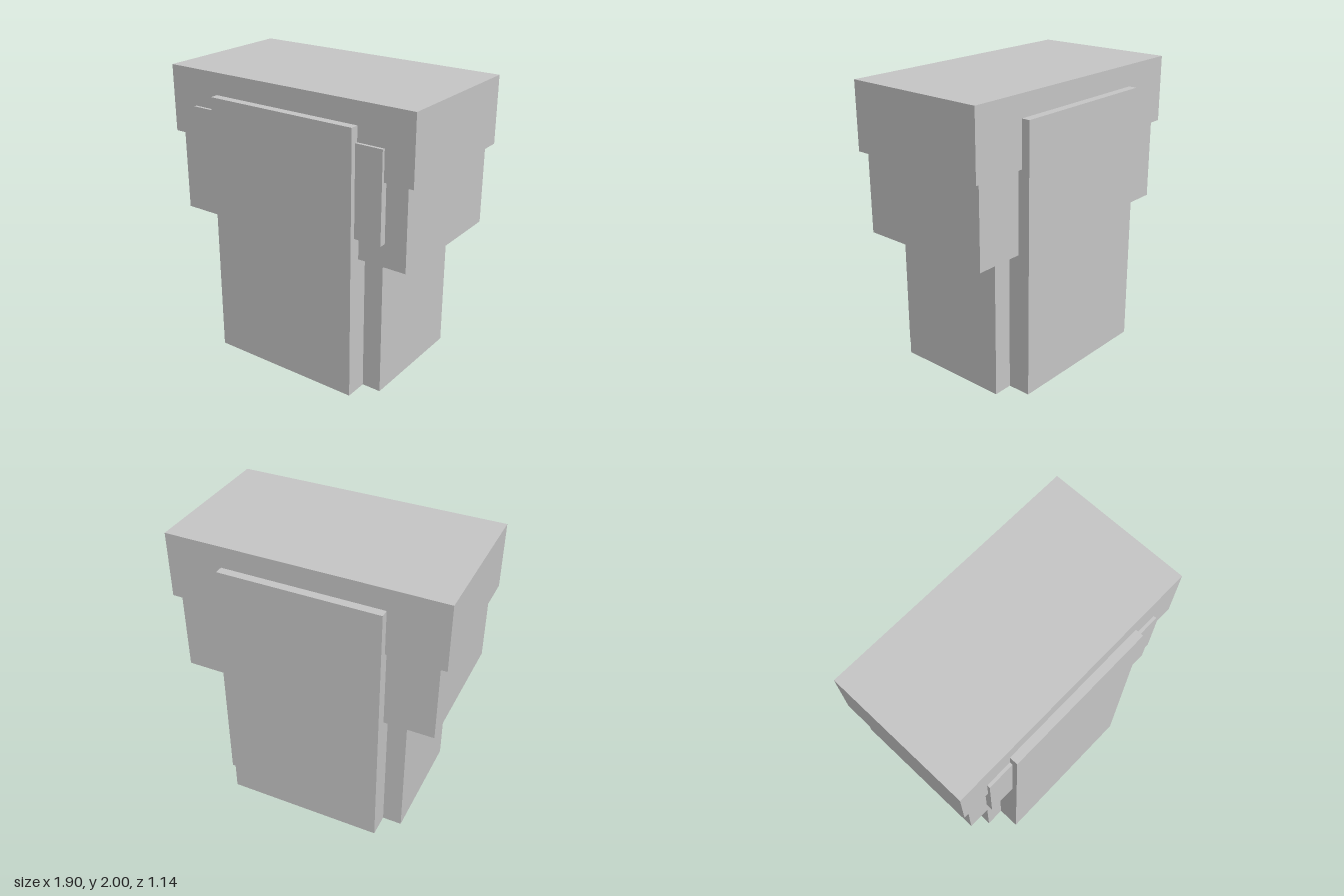
import * as THREE from 'three';

export function createModel() {
  const model = new THREE.Group();
  const grey = new THREE.MeshStandardMaterial({ color: 0xc8c8c8 });
  grey.name = 'lightGrey';

  // Box given by its limits on each axis
  function block(name, [x0, x1], [y0, y1], [z0, z1]) {
    const mesh = new THREE.Mesh(new THREE.BoxGeometry(x1 - x0, y1 - y0, z1 - z0), grey);
    mesh.position.set((x0 + x1) / 2, (y0 + y1) / 2, (z0 + z1) / 2);
    mesh.name = name;
    model.add(mesh);
  }

  // Stepped body, widening upwards
  block('lowerBody', [-0.69, 0.69], [0, 0.972], [-0.41, 0.41]);
  block('middleBody', [-0.9, 0.9], [0.972, 1.537], [-0.485, 0.485]);
  block('topBody', [-0.95, 0.95], [1.537, 2], [-0.512, 0.512]);

  // Tall slab running through from front to back
  block('centreSlab', [-0.555, 0.555], [0, 1.85], [-0.57, 0.57]);

  // Small raised panels beside the slab, on the front only
  block('leftFrontPanel', [0.555, 0.747], [1.13, 1.747], [0.45, 0.533]);
  block('rightFrontPanel', [-0.747, -0.555], [1.13, 1.747], [0.45, 0.533]);

  return model;
}
